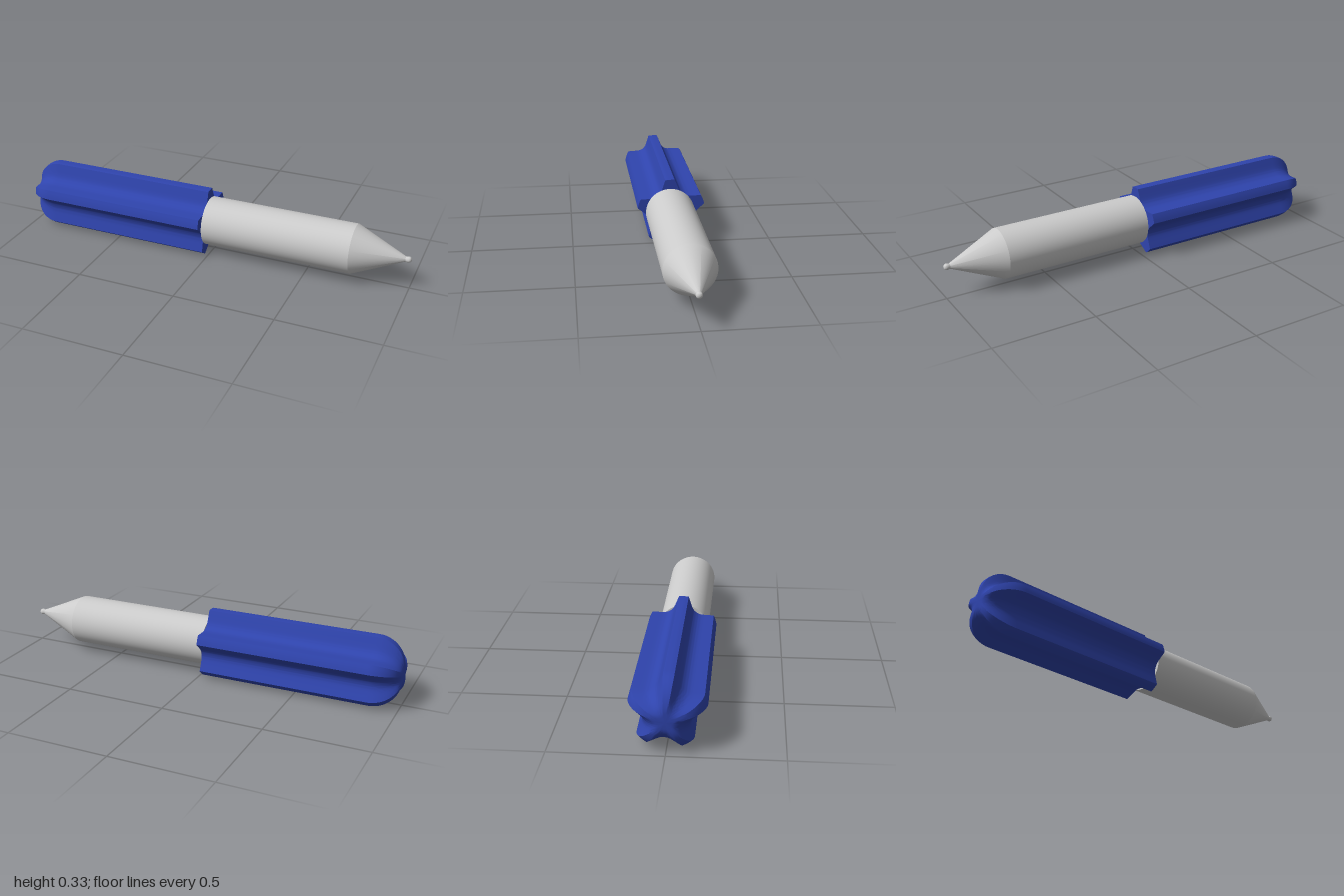
import * as THREE from 'three';
import { toCreasedNormals } from 'three/addons/utils/BufferGeometryUtils.js';

const RAD = Math.PI / 180;

// Fluted outline of the grip: raised ribs with concave grooves between them, as [z, y]
function gripOutline() {
  const ribs = [22, 92.5, 163, 236, 312];
  const outer = 0.172, floor = 0.112, halfRib = 8, arcSteps = 4, grooveSteps = 20;
  const points = [];
  const add = (deg, r) => points.push([-r * Math.cos(deg * RAD), r * Math.sin(deg * RAD)]);
  ribs.forEach((angle, i) => {
    const next = i < ribs.length - 1 ? ribs[i + 1] : ribs[0] + 360;
    for (let k = 0; k <= arcSteps; k++) add(angle - halfRib + (2 * halfRib * k) / arcSteps, outer);
    const start = angle + halfRib, span = next - halfRib - start;
    for (let k = 1; k < grooveSteps; k++) {
      const u = Math.abs((2 * k) / grooveSteps - 1);
      add(start + (span * k) / grooveSteps, floor + (outer - floor) * Math.pow(u, 2.5));
    }
  });
  return points;
}

// Sweep the outline along x, shrinking it over the domed end
function gripGeometry() {
  const outline = gripOutline(), n = outline.length;
  const rings = [[-0.02, 0], [-0.02, 1], [-0.45, 1]];
  for (let k = 0; k <= 14; k++) {
    const a = (k / 14) * Math.PI / 2;
    rings.push([-0.865 - 0.135 * Math.sin(a), 0.24 + 0.76 * Math.cos(a)]);
  }
  rings.push([-1, 0]);
  const positions = [], index = [];
  for (const [x, s] of rings) for (const [z, y] of outline) positions.push(x, y * s, z * s);
  for (let i = 0; i < rings.length - 1; i++) {
    for (let j = 0; j < n; j++) {
      const a = i * n + j, b = i * n + ((j + 1) % n), c = a + n, d = b + n;
      if (rings[i][1] > 0) index.push(a, b, c);
      if (rings[i + 1][1] > 0) index.push(b, d, c);
    }
  }
  const geometry = new THREE.BufferGeometry();
  geometry.setAttribute('position', new THREE.Float32BufferAttribute(positions, 3));
  geometry.setIndex(index);
  // Make sure the faces look outwards
  const volume = signedVolume(positions, index);
  if (volume < 0) geometry.setIndex(index.reverse());
  return toCreasedNormals(geometry, 0.55);
}

function signedVolume(p, index) {
  const v = (i) => new THREE.Vector3(p[3 * i], p[3 * i + 1], p[3 * i + 2]);
  let sum = 0;
  for (let i = 0; i < index.length; i += 3) sum += v(index[i]).dot(v(index[i + 1]).cross(v(index[i + 2])));
  return sum;
}

// Turned part along x, from [x, radius] pairs
function turned(name, profile, material) {
  const points = profile.map(([x, r]) => new THREE.Vector2(r, x));
  const geometry = toCreasedNormals(new THREE.LatheGeometry(points, 64), 0.35);
  geometry.rotateZ(-Math.PI / 2);
  const mesh = new THREE.Mesh(geometry, material);
  mesh.name = name;
  mesh.position.set(0, 0.164, 0.007);
  return mesh;
}

export function createModel() {
  const model = new THREE.Group();
  model.name = 'pen';
  const grey = new THREE.MeshStandardMaterial({ color: 0xcccccc });
  const blue = new THREE.MeshStandardMaterial({ color: 0x2f44ad });

  // Ribbed grip, set very slightly off the barrel's axis
  const grip = new THREE.Mesh(gripGeometry(), blue);
  grip.name = 'grip';
  grip.position.set(0, 0.162, 0);
  model.add(grip);

  // Barrel with its tapered nose
  model.add(turned('barrel', [[-0.02, 0], [-0.02, 0.122], [0.725, 0.122]], grey));
  model.add(turned('nose', [[0.725, 0.122], [0.975, 0.011]], grey));

  // Rounded tip
  const tip = [];
  for (let k = 0; k <= 10; k++) {
    const a = (k / 10) * Math.PI / 2;
    tip.push([0.985 + 0.015 * Math.sin(a), Math.max(0, 0.015 * Math.cos(a))]);
  }
  model.add(turned('tip', [[0.968, 0.012], [0.975, 0.0135], ...tip], grey));
  return model;
}
